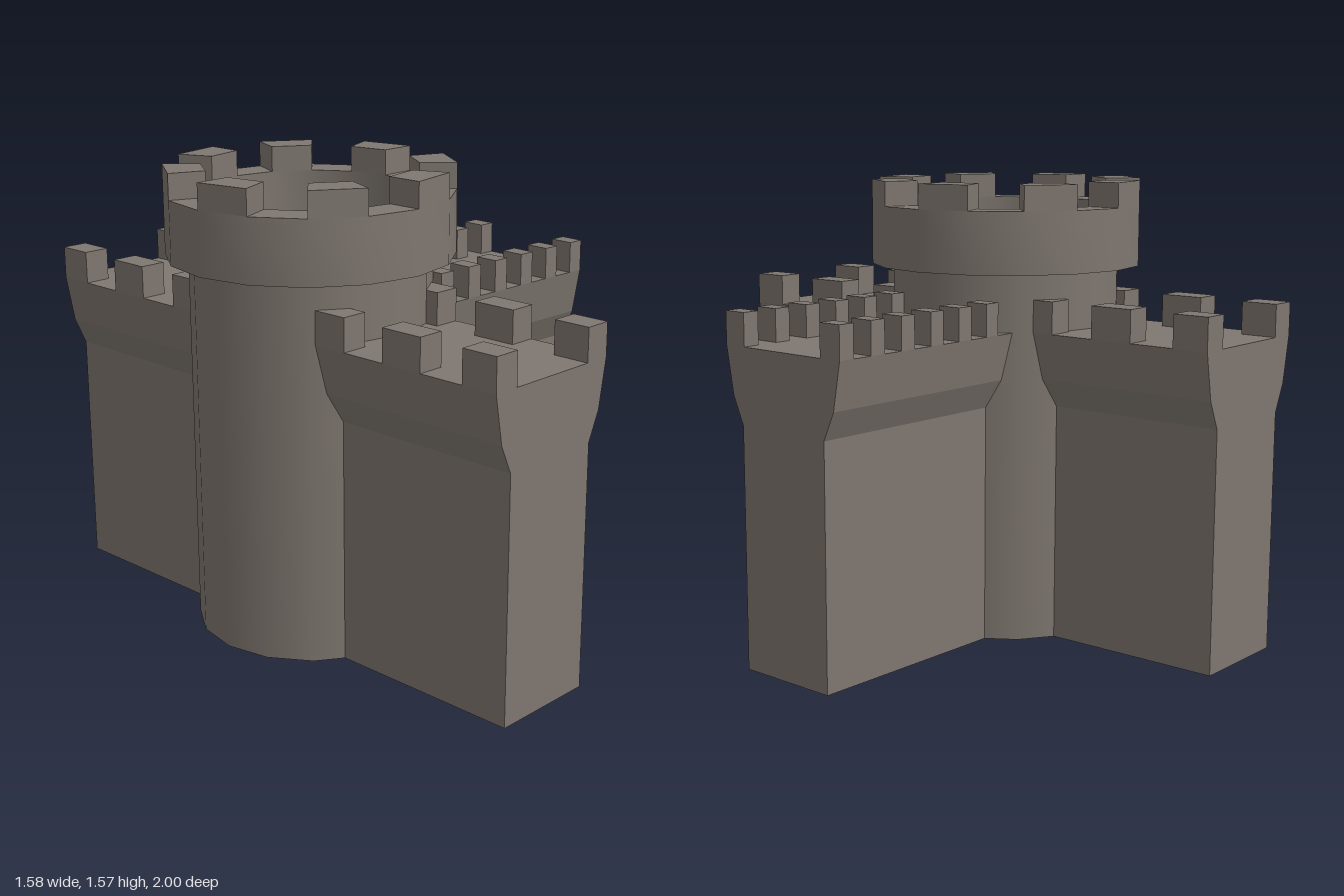
import * as THREE from 'three';
import { toCreasedNormals } from 'three/addons/utils/BufferGeometryUtils.js';

const stone = new THREE.MeshStandardMaterial({ color: 0x7f7770, side: THREE.DoubleSide });
stone.name = 'stone';

const SIDES = 16;
const WALL_TOP = 1.07, MERLON_TOP = 1.18;
const WALL_HALF = 0.257;

function add(parent, geometry, name) {
  const mesh = new THREE.Mesh(geometry, stone);
  mesh.name = name;
  parent.add(mesh);
  return mesh;
}

// Wall running along local z from start to end, flaring out below the parapet
function makeWall(name, start, end, merlonSpans, merlonDepth) {
  const group = new THREE.Group();
  group.name = name;
  const half = [[0.185, 0], [0.185, 0.815], [0.228, 0.91], [WALL_HALF, WALL_TOP]];
  const outline = [...half, ...half.slice().reverse().map(([x, y]) => [-x, y])];
  const shape = new THREE.Shape(outline.map(([x, y]) => new THREE.Vector2(x, y)));
  const body = new THREE.ExtrudeGeometry(shape, { depth: end - start, bevelEnabled: false });
  add(group, body.translate(0, 0, start), name + 'Body');

  // Merlons along both edges
  const height = MERLON_TOP - WALL_TOP;
  for (const [a, b] of merlonSpans) {
    for (const side of [-1, 1]) {
      const merlon = add(group, new THREE.BoxGeometry(merlonDepth, height, b - a), name + 'Merlon');
      merlon.position.set(side * (WALL_HALF - merlonDepth / 2), WALL_TOP + height / 2, (a + b) / 2);
    }
  }
  return group;
}

// Round tower, open underneath, with an overhanging hollow crown
function makeTower() {
  const tower = new THREE.Group();
  tower.name = 'tower';
  const outer = 0.475, inner = 0.352, base = 1.27, rim = 1.48, top = 1.565;

  const shaft = new THREE.CylinderGeometry(0.4, 0.4, base, SIDES, 1, true);
  add(tower, shaft.translate(0, base / 2, 0), 'towerShaft');

  const profile = [[0.4, base], [outer, base], [outer, rim], [inner, rim], [inner, 1.1], [0, 1.1]]
    .map(([r, y]) => new THREE.Vector2(r, y));
  add(tower, toCreasedNormals(new THREE.LatheGeometry(profile, SIDES), 0.7), 'towerCrown');

  // One merlon on every second side of the crown
  const step = (Math.PI * 2) / SIDES;
  const at = (r, a) => new THREE.Vector2(r * Math.sin(a), -r * Math.cos(a));
  for (let i = 0; i < SIDES; i += 2) {
    const a = i * step, b = a + step;
    const shape = new THREE.Shape([at(outer, a), at(outer, b), at(inner, b), at(inner, a)]);
    const merlon = new THREE.ExtrudeGeometry(shape, { depth: top - rim, bevelEnabled: false });
    add(tower, merlon.rotateX(-Math.PI / 2).translate(0, rim, 0), 'towerMerlon');
  }
  return tower;
}

export function createModel() {
  const model = new THREE.Group();
  model.name = 'castleWallJunction';

  const tower = makeTower();
  tower.position.set(-0.315, 0, -0.015);
  model.add(tower);

  // Long wall passing through the tower from front to back
  const longSpans = [];
  for (const [a, b] of [[0.873, 1], [0.56, 0.713], [0.25, 0.402]]) longSpans.push([a, b], [-b, -a]);
  const longWall = makeWall('longWall', -1, 1, longSpans, 0.092);
  longWall.position.x = -0.327;
  model.add(longWall);

  // Side wall, turned slightly off square
  const sideSpans = Array.from({ length: 6 }, (_, i) => [0.723 - i * 0.135, 0.783 - i * 0.135]);
  const sideWall = makeWall('sideWall', -0.08, 0.783, sideSpans, 0.085);
  sideWall.position.z = -0.018;
  sideWall.rotation.y = Math.PI / 2 - 0.03;
  model.add(sideWall);

  return model;
}
